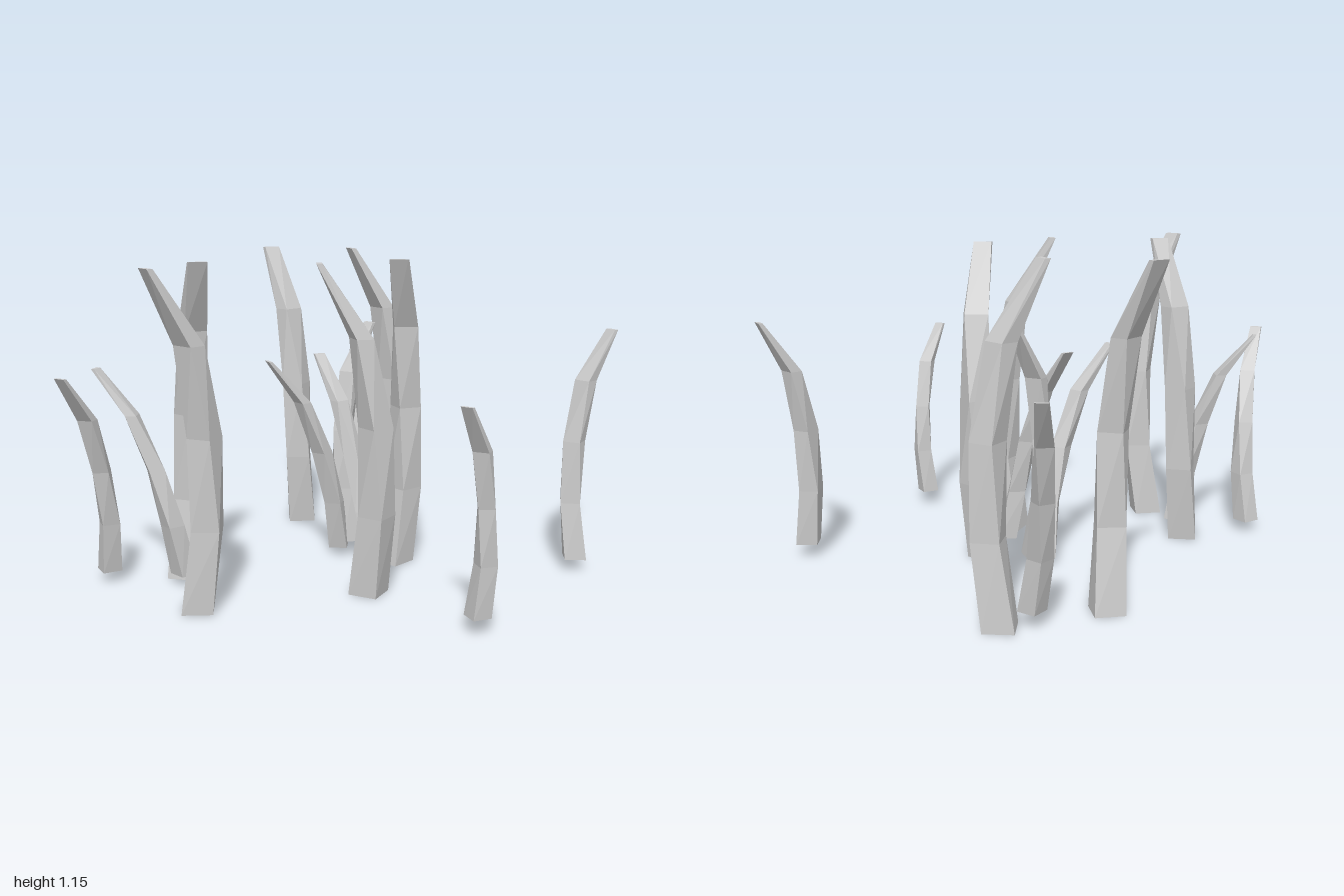
import * as THREE from 'three';

// Blade rings from root to tip: [height fraction, forward, sideways, half depth, half width, twist in degrees]
const RINGS = [
  [0, 0, 0, 0.0525, 0.0525, -61],
  [0.25, -0.025, -0.03, 0.047, 0.047, -55],
  [0.52, -0.02, -0.035, 0.0425, 0.0425, -35],
  [0.785, 0.03, -0.04, 0.03, 0.043, -15],
  [1, 0.17, -0.04, 0.01, 0.033, 0],
];

// Root x, z; tip x, z; root height; tip height; thickness scale
const TALL = [
  [0.08, -0.62, 0.0, -0.775],
  [0.45, -0.6, 0.28, -0.56],
  [-0.545, -0.06, -0.515, 0.11],
  [0.236, 0.037, 0.175, 0.205],
  [-0.58, 0.294, -0.735, 0.37],
  [0.02, 0.328, -0.155, 0.315],
].map((p) => [...p, 0, 1.15, 1]);

const SHORT = [
  [-0.815, -0.1, -0.98, 0.11, 0.04, 0.78, 0.65],
  [-0.57, 0.03, -0.84, -0.08, 0.04, 0.78, 0.65],
  [0.13, 0.11, 0.005, -0.16, 0.04, 0.78, 0.65],
  [0.07, -0.12, -0.23, -0.03, 0.03, 0.78, 0.65],
  [0.35, -0.625, 0.44, -0.9, 0.05, 0.78, 0.65],
  [0.125, -0.14, 0.23, -0.215, 0.045, 0.885, 0.74],
  [0.835, 0.345, 0.985, 0.295, 0.045, 0.885, 0.74],
  [0.215, 0.785, 0.11, 0.89, 0.055, 0.76, 0.62],
];

// Twisted, tapering four-sided blade that curls over towards its tip
function bladeGeometry([x0, z0, x1, z1, y0, y1, s]) {
  const last = RINGS[RINGS.length - 1];
  const yaw = Math.atan2(z1 - z0, x1 - x0) - Math.atan2(last[2], last[1]);
  const c = Math.cos(yaw), n = Math.sin(yaw);
  const toWorld = (f, w) => [f * c - w * n, f * n + w * c];
  const [tx, tz] = toWorld(last[1] * s, last[2] * s);
  const shearX = x1 - x0 - tx, shearZ = z1 - z0 - tz;

  const pos = [], index = [];
  RINGS.forEach(([t, f, w, hu, hv, deg], r) => {
    const a = THREE.MathUtils.degToRad(deg);
    for (const [u, v] of [[1, 1], [1, -1], [-1, -1], [-1, 1]]) {
      const du = u * hu, dv = v * hv;
      const [x, z] = toWorld(
        s * (f + du * Math.cos(a) - dv * Math.sin(a)),
        s * (w + du * Math.sin(a) + dv * Math.cos(a)));
      pos.push(x0 + x + shearX * t, y0 + (y1 - y0) * t, z0 + z + shearZ * t);
    }
    if (r === 0) return;
    for (let i = 0; i < 4; i++) {
      const p = (r - 1) * 4 + i, q = (r - 1) * 4 + ((i + 1) % 4);
      index.push(p, q, q + 4, p, q + 4, p + 4);
    }
  });
  // Root and tip caps
  const k = (RINGS.length - 1) * 4;
  index.push(0, 2, 1, 0, 3, 2, k, k + 1, k + 2, k, k + 2, k + 3);

  const g = new THREE.BufferGeometry();
  g.setAttribute('position', new THREE.Float32BufferAttribute(pos, 3));
  g.setIndex(index);
  const flat = g.toNonIndexed();
  flat.computeVertexNormals();
  return flat;
}

export function createModel() {
  const group = new THREE.Group();
  group.name = 'grassPatch';
  const material = new THREE.MeshStandardMaterial({ color: 0xcccccc, flatShading: true });
  const add = (name) => (blade, i) => {
    const mesh = new THREE.Mesh(bladeGeometry(blade), material);
    mesh.name = name + (i + 1);
    group.add(mesh);
  };
  TALL.forEach(add('tallBlade'));
  SHORT.forEach(add('shortBlade'));
  return group;
}
